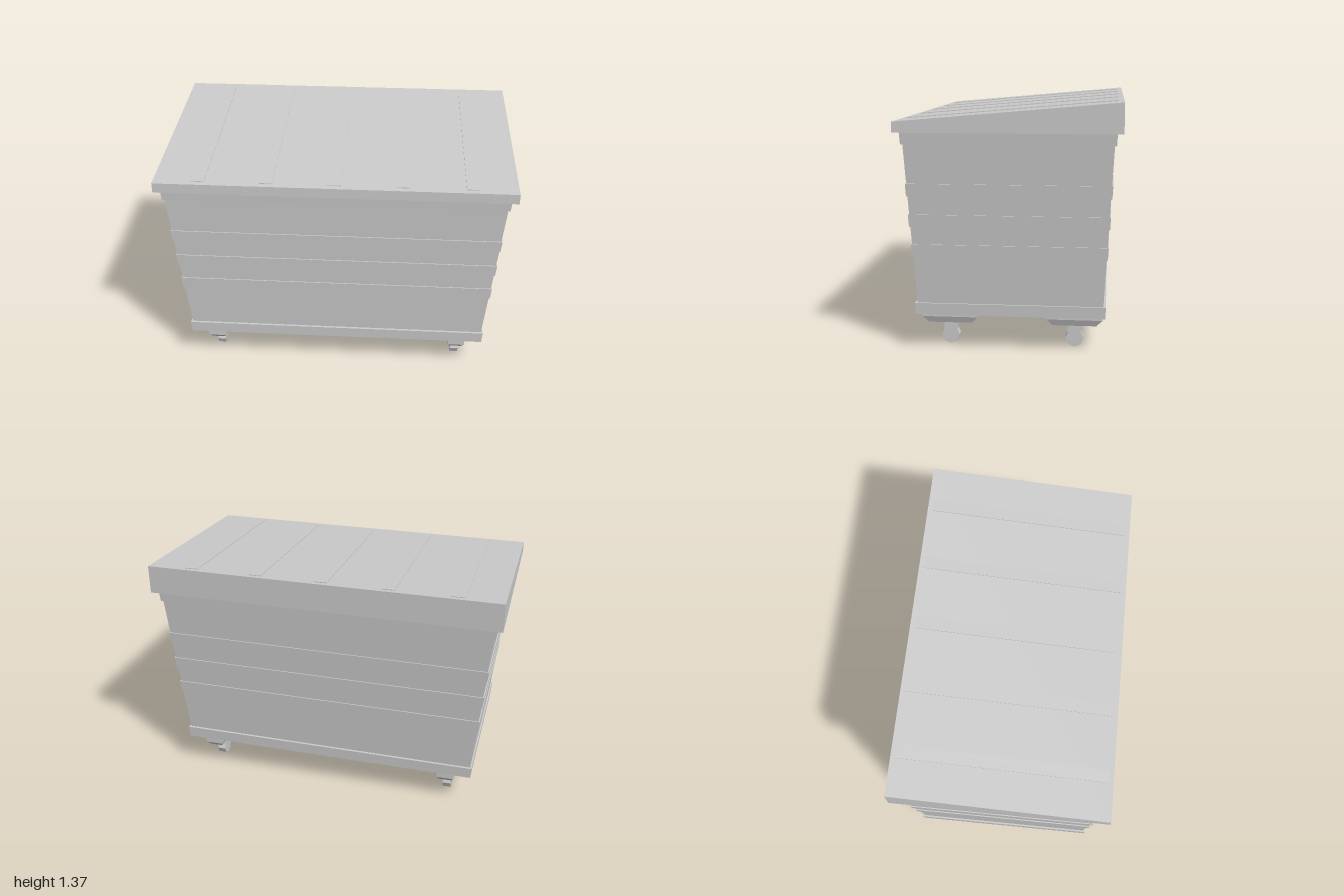
import * as THREE from 'three';

const material = new THREE.MeshStandardMaterial({ color: 0xcccccc, flatShading: true });

function add(parent, name, geometry, x = 0, y = 0, z = 0) {
  const mesh = new THREE.Mesh(geometry, material);
  mesh.name = name;
  mesh.position.set(x, y, z);
  parent.add(mesh);
  return mesh;
}

// Box from y0 to y1 whose half width and half depth change from bottom to top.
function taperedBox(y0, y1, [bx, bz], [tx, tz]) {
  const geometry = new THREE.BoxGeometry(2, 1, 2);
  const p = geometry.attributes.position;
  for (let i = 0; i < p.count; i++) {
    const top = p.getY(i) > 0;
    p.setXYZ(i, p.getX(i) * (top ? tx : bx), top ? y1 : y0, p.getZ(i) * (top ? tz : bz));
  }
  geometry.computeVertexNormals();
  return geometry;
}

// Half size of the flared wall at height y, pushed out by grow.
function wallSize(y, grow = 0) {
  const t = (y - 0.26) / 0.88;
  return [0.874 + 0.078 * t + grow, 0.506 + 0.048 * t + grow];
}

// Box lying on the sloping lid plane, or reaching down to a flat base.
const slope = z => 1.3145 - z * 0.0875;
function slopedBox(halfX, halfZ, lift, base) {
  const geometry = new THREE.BoxGeometry(halfX * 2, 1, halfZ * 2);
  const p = geometry.attributes.position;
  for (let i = 0; i < p.count; i++) {
    const z = p.getZ(i);
    p.setY(i, p.getY(i) > 0 ? slope(z) + lift : base ?? slope(z) - 0.01);
  }
  geometry.computeVertexNormals();
  return geometry;
}

function createCaster() {
  const caster = new THREE.Group();
  caster.name = 'caster';
  add(caster, 'mountingBlock', taperedBox(0.16, 0.2, [0.05, 0.155], [0.05, 0.155]));
  add(caster, 'mountingBevel', taperedBox(0.124, 0.16, [0.036, 0.12], [0.05, 0.155]));
  add(caster, 'wheelStem', new THREE.BoxGeometry(0.048, 0.065, 0.074), 0, 0.098, 0);
  const wheel = new THREE.CylinderGeometry(0.05, 0.05, 0.048, 8);
  wheel.rotateZ(Math.PI / 2);
  add(caster, 'wheel', wheel, 0, 0.05, 0);
  return caster;
}

export function createModel() {
  const model = new THREE.Group();
  model.name = 'wheeledBin';

  // Flared container with its base and rim
  add(model, 'basePlinth', taperedBox(0.2, 0.265, [0.88, 0.518], [0.884, 0.52]));
  add(model, 'containerWall', taperedBox(0.26, 1.145, wallSize(0.26), wallSize(1.145)));
  add(model, 'upperRim', taperedBox(1.14, 1.206, [0.962, 0.564], [0.968, 0.568]));

  // Raised bands around the wall
  for (const top of [0.93, 0.762, 0.597]) {
    const bottom = top - 0.068;
    add(model, 'wallBand', taperedBox(bottom, top, wallSize(bottom, 0.006), wallSize(top, 0.006)));
  }

  // Sloping lid with raised strips
  const lid = new THREE.Group();
  lid.name = 'lid';
  model.add(lid);
  add(lid, 'lidBody', slopedBox(1, 0.6, 0, 1.205));
  for (let i = -2; i <= 2; i++) {
    add(lid, 'lidStrip', slopedBox(0.036, 0.57, 0.004), i * 0.376);
  }

  // Four casters
  for (const x of [-0.73, 0.73]) {
    for (const z of [-0.347, 0.347]) {
      const caster = createCaster();
      caster.position.set(x, 0, z);
      model.add(caster);
    }
  }
  return model;
}
